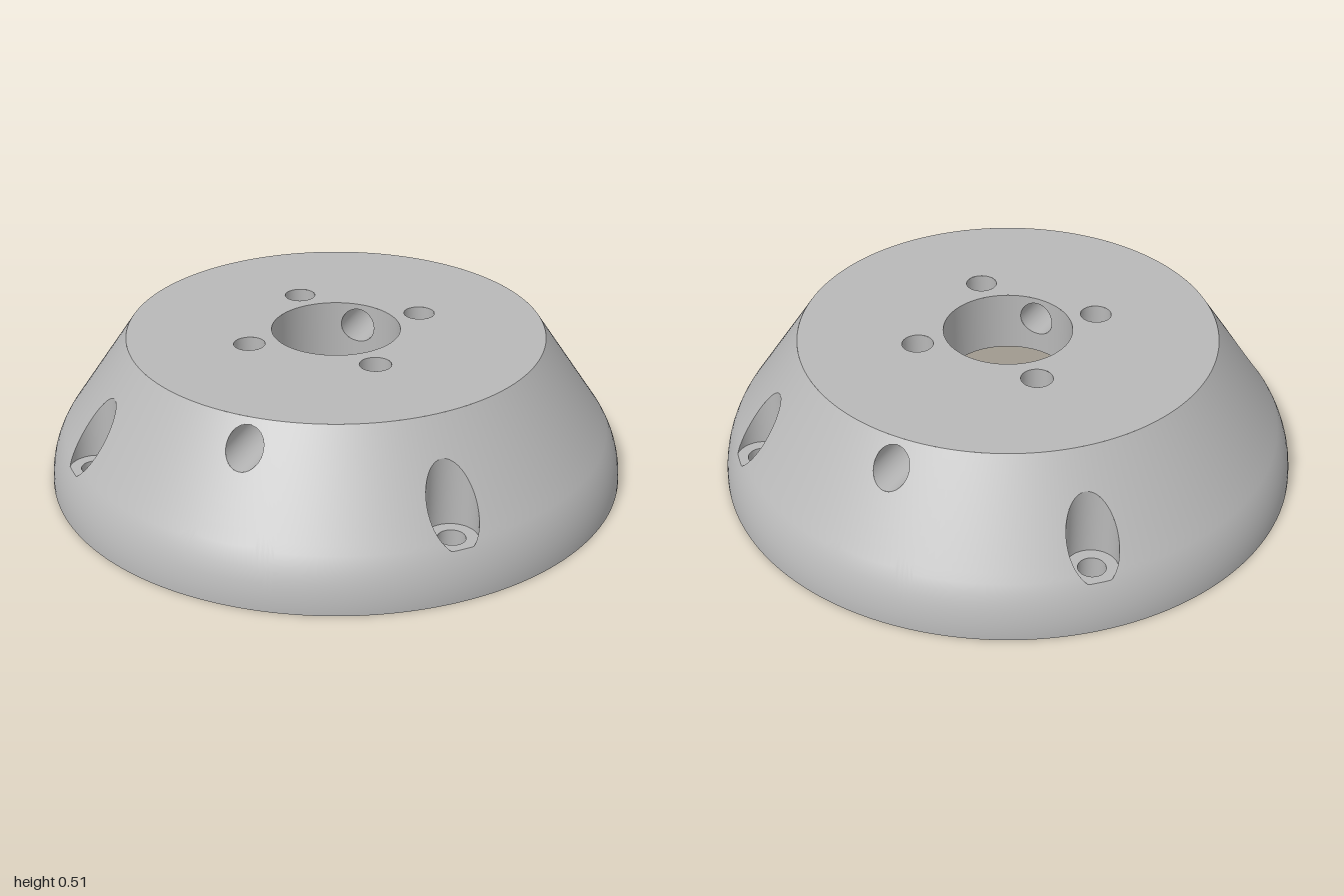
import * as THREE from 'three';
import { mergeGeometries } from 'three/addons/utils/BufferGeometryUtils.js';

const H = 0.51, TOP_R = 0.72, FLOOR_Y = 0.295, RECESS_R = 0.778, BORE_R = 0.222;
const SEAT_Y = 0.16, SCREW_R = 0.882, SEAT_R = 0.084, PIPE_R = 0.045;
const SMALL_AT = 0.32, SMALL_R = 0.0535, PORT_Y = 0.429, PORT_R = 0.062;
const rad = THREE.MathUtils.degToRad;
const SCREWS = [-21, 69, 159, 249].map(rad);
const PORTS = [23.8, 203.8].map(rad);

// Outer profile: a cone that runs tangentially into a rounded foot
const K = 0.683, A = Math.atan(K);
const ARC = (1 - TOP_R - K * H) / (1 - Math.cos(A) - K * Math.sin(A));
const ARC_Y = ARC * Math.sin(A), ARC_X = 1 - ARC + ARC * Math.cos(A);
const outerR = y => y > ARC_Y ? TOP_R + K * (H - y) : 1 - ARC + Math.sqrt(ARC * ARC - y * y);
const outerY = r => r < ARC_X ? H - (r - TOP_R) / K : Math.sqrt(Math.max(0, ARC * ARC - (r - 1 + ARC) ** 2));
const outerSlope = y => y > ARC_Y ? K : y / Math.sqrt(ARC * ARC - y * y);

const polar = (t, r, y) => new THREE.Vector3(r * Math.sin(t), y, r * Math.cos(t));
const turn = (n, f) => Array.from({ length: n }, (_, i) => f(i / n * Math.PI * 2));

// Skin over rows of points; closed rows join their ends
function loft(rows, closed, flip = false) {
  const n = rows[0].length, idx = [];
  for (let i = 0; i < rows.length - 1; i++) {
    for (let j = 0; j < (closed ? n : n - 1); j++) {
      const k = (j + 1) % n;
      const a = i * n + j, b = i * n + k, c = b + n, d = a + n;
      if (flip) idx.push(a, c, b, a, d, c);
      else idx.push(a, b, c, a, c, d);
    }
  }
  const g = new THREE.BufferGeometry().setFromPoints(rows.flat());
  g.setIndex(idx);
  g.computeVertexNormals();
  return g;
}

// Turned surface with a framed patch around each hole
function turned(rFn, slopeFn, y0, y1, holes, inward) {
  const NY = 20, NX = 14, STEPS = 8, parts = [];
  const add = (rows, closed) => {
    const g = loft(rows.map(row => row.map(([t, y]) => polar(t, rFn(y), y))), closed, inward);
    const s = inward ? -1 : 1;
    const normals = rows.flat().flatMap(([t, y]) =>
      new THREE.Vector3(Math.sin(t), slopeFn(y), Math.cos(t)).normalize().multiplyScalar(s).toArray());
    g.setAttribute('normal', new THREE.Float32BufferAttribute(normals, 3));
    parts.push(g);
  };
  const yAt = i => y0 + (y1 - y0) * i / NY;
  holes.sort((a, b) => a.t - b.t);
  holes.forEach((h, n) => {
    // Frame around the hole, counter-clockwise
    const frame = [], l = h.t - h.w, r = h.t + h.w;
    for (let i = 0; i < NX; i++) frame.push([l + 2 * h.w * i / NX, y0]);
    for (let i = 0; i < NY; i++) frame.push([r, yAt(i)]);
    for (let i = 0; i < NX; i++) frame.push([r - 2 * h.w * i / NX, y1]);
    for (let i = NY; i > 0; i--) frame.push([l, yAt(i)]);
    const rim = frame.map(([t, y]) => h.rim(Math.atan2((y - h.y) / ((y1 - y0) / 2), (t - h.t) / h.w)));
    const rows = [];
    for (let s = 0; s <= STEPS; s++) {
      const f = s / STEPS;
      rows.push(frame.map((p, j) => [p[0] + (rim[j][0] - p[0]) * f, p[1] + (rim[j][1] - p[1]) * f]));
    }
    add(rows, true);
    // Plain sector up to the next hole
    const next = holes[n + 1] ?? { t: holes[0].t + Math.PI * 2, w: holes[0].w };
    const span = next.t - next.w - r, cols = Math.max(2, Math.ceil(span / rad(2)));
    add(Array.from({ length: NY + 1 }, (_, i) =>
      Array.from({ length: cols + 1 }, (_, j) => [r + span * j / cols, yAt(i)])), false);
  });
  return mergeGeometries(parts);
}

// Rim of a horizontal port on a turned surface, as [angle, height]
const portRim = (t, rFn) => p => {
  const y = PORT_Y + PORT_R * Math.sin(p);
  return [t + Math.asin(PORT_R * Math.cos(p) / rFn(y)), y];
};
// Vertical circle around a screw axis, as [angle, radius]
const screwCircle = (t, size, p) => {
  const a = size * Math.cos(p), b = SCREW_R - size * Math.sin(p);
  return [t + Math.atan2(a, b), Math.hypot(a, b)];
};
const seatPoint = (t, p) => {
  const [a, r] = screwCircle(t, SEAT_R, p);
  return [a, Math.min(r, outerR(SEAT_Y))];
};
const screwRim = t => p => {
  const [a, r] = seatPoint(t, p);
  return [a, Math.max(SEAT_Y, outerY(r))];
};

// Flat disc with round holes given as [angle, distance, radius]
function disc(radius, holes, y, up) {
  const shape = new THREE.Shape().absarc(0, 0, radius, 0, Math.PI * 2);
  for (const [t, d, r] of holes) {
    const z = d * Math.cos(t);
    shape.holes.push(new THREE.Path().absarc(d * Math.sin(t), up ? -z : z, r, 0, Math.PI * 2, true));
  }
  return new THREE.ShapeGeometry(shape, 90).rotateX(up ? -Math.PI / 2 : Math.PI / 2).translate(0, y, 0);
}

export function createModel() {
  const group = new THREE.Group();
  const grey = new THREE.MeshStandardMaterial({ color: 0xb8b8b8 });
  grey.name = 'plain grey';
  grey.side = THREE.DoubleSide;
  const add = (name, geometry) => {
    const mesh = new THREE.Mesh(geometry, grey);
    mesh.name = name;
    group.add(mesh);
  };

  // Outer shell with screw pockets and side ports
  add('outerShell', turned(outerR, outerSlope, 0, H, [
    ...SCREWS.map(t => ({ t, w: rad(10), y: 0.28, rim: screwRim(t) })),
    ...PORTS.map(t => ({ t, w: rad(10), y: PORT_Y, rim: portRim(t, outerR) })),
  ], false));

  // Centre bore, pierced by the side ports
  const boreR = () => BORE_R;
  add('centreBore', turned(boreR, () => 0, FLOOR_Y, H,
    PORTS.map(t => ({ t, w: rad(30), y: PORT_Y, rim: portRim(t, boreR) })), true));

  // Flat faces
  const plateHoles = [[0, 0, BORE_R], ...SCREWS.map(t => [t, SMALL_AT, SMALL_R])];
  add('topFace', disc(TOP_R, plateHoles, H, true));
  add('recessCeiling', disc(RECESS_R, plateHoles, FLOOR_Y, false));
  add('bottomRim', disc(1, [[0, 0, RECESS_R], ...SCREWS.map(t => [t, SCREW_R, PIPE_R])], 0, false));

  // Recess wall, facing the axis
  add('recessWall', loft([0, FLOOR_Y].map(y => turn(160, p => polar(p, RECESS_R, y))), true, true));

  // Screw pockets, their seats and pipes, and the small plate holes
  for (const t of SCREWS) {
    const ring = f => turn(64, p => f(p));
    const rim = ring(p => { const [a, y] = screwRim(t)(p); return polar(a, seatPoint(t, p)[1], y); });
    const seat = ring(p => polar(...seatPoint(t, p), SEAT_Y));
    const pipe = y => ring(p => polar(...screwCircle(t, PIPE_R, p), y));
    add('screwPocket', loft([rim, seat], true));
    add('screwSeat', loft([seat, pipe(SEAT_Y)], true));
    add('screwHole', loft([pipe(SEAT_Y), pipe(0)], true));

    const c = polar(t, SMALL_AT, 0);
    const hole = y => turn(40, p => polar(p, SMALL_R, y).add(c));
    add('plateHole', loft([hole(FLOOR_Y), hole(H)], true, true));
  }

  // Side port tunnels from the shell to the bore
  for (const t of PORTS) {
    const end = rFn => turn(48, p => { const [a, y] = portRim(t, rFn)(p); return polar(a, rFn(y), y); });
    add('sidePort', loft([end(outerR), end(boreR)], true));
  }
  return group;
}
